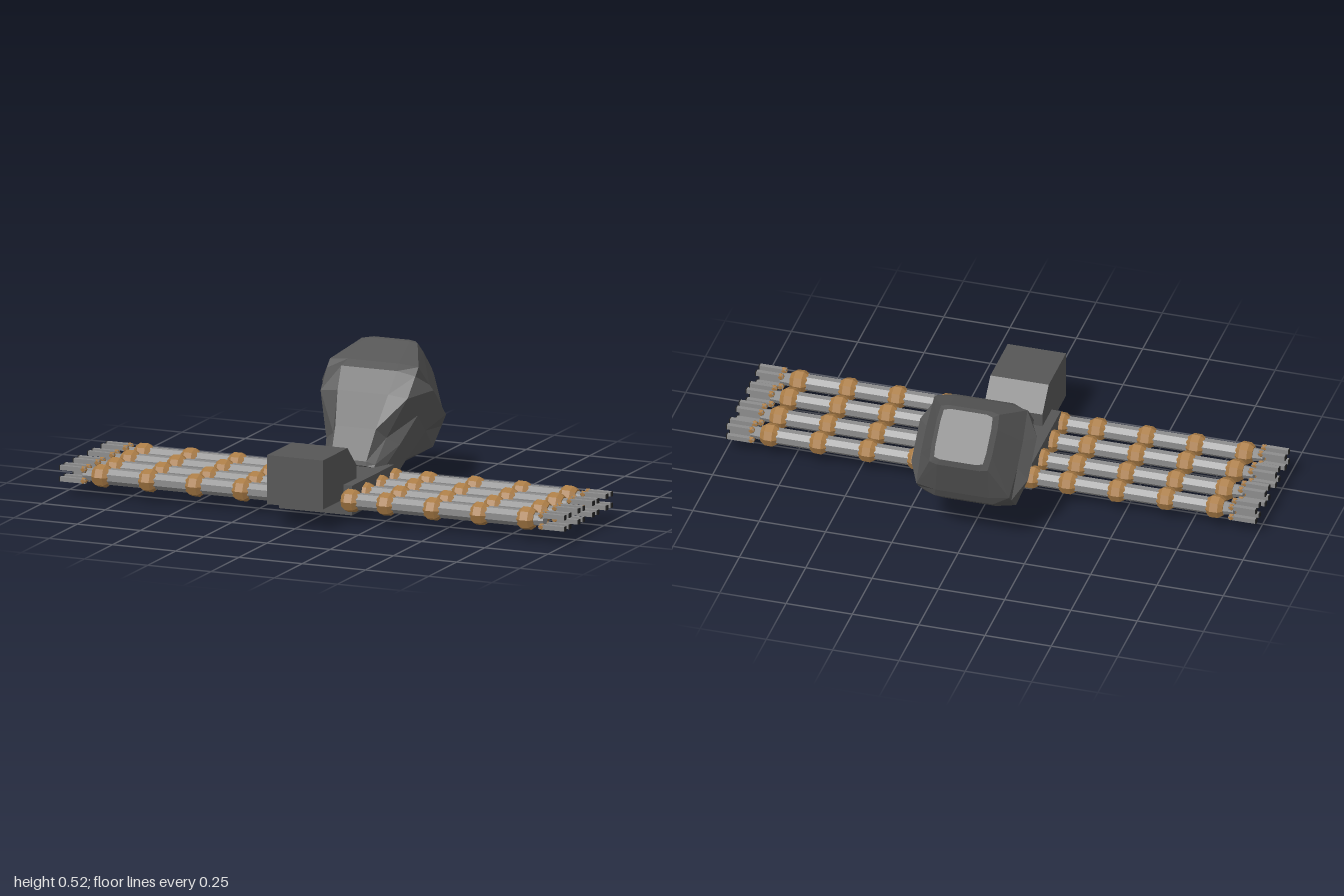
import * as THREE from 'three';

const mat = (name, color) => {
  const m = new THREE.MeshStandardMaterial({ color, flatShading: true });
  m.name = name;
  return m;
};

// Faceted abdomen lofted along a 45 degree axis; a clipped square section with a panel on each side
function abdomenGeometry() {
  // [distance, cornerX, cornerH, sideX, sideHalf, topH, topHalf]
  const rings = [
    [0.081, 0.1, 0.09, 0.11, 0.05, 0.098, 0.07],
    [0.095, 0.1, 0.09, 0.115, 0.05, 0.107, 0.07],
    [0.215, 0.105, 0.085, 0.145, 0.045, 0.138, 0.08],
    [0.343, 0.172, 0.16, 0.178, 0.05, 0.175, 0.1],
    [0.437, 0.175, 0.165, 0.22, 0.08, 0.19, 0.11],
    [0.477, 0.175, 0.165, 0.182, 0.05, 0.177, 0.1],
    [0.613, 0.11, 0.105, 0.115, 0.05, 0.112, 0.08],
    [0.63, 0.092, 0.088, 0.096, 0.045, 0.095, 0.07],
  ];
  const pos = [], index = [], n = 12, k = Math.SQRT1_2;
  const add = (s, u, v) => pos.push(-u, (s + v + 0.018) * k, (v + 0.018 - s) * k);
  for (const [s, cx, ch, sx, sh, th, tw] of rings) {
    const half = [[sx, -sh], [sx, sh], [cx, ch], [tw, th], [-tw, th], [-cx, ch]];
    half.forEach(([u, v]) => add(s, u, v));
    half.forEach(([u, v]) => add(s, -u, -v));
  }
  for (let i = 0; i < rings.length - 1; i++) {
    for (let j = 0; j < n; j++) {
      const a = i * n + j, b = i * n + (j + 1) % n;
      index.push(a, b, b + n, a, b + n, a + n);
    }
  }
  // End caps
  const last = (rings.length - 1) * n;
  for (let j = 1; j < n - 1; j++) {
    index.push(0, j + 1, j, last, last + j, last + j + 1);
  }
  const g = new THREE.BufferGeometry();
  g.setAttribute('position', new THREE.Float32BufferAttribute(pos, 3));
  g.setIndex(index);
  const flat = g.toNonIndexed();
  flat.computeVertexNormals();
  return flat;
}

export function createModel() {
  const shell = mat('dark shell grey', 0x565656);
  const legGrey = mat('leg grey', 0x8c8c8c);
  const bronze = mat('joint bronze', 0xaa7c46);
  const black = mat('tip black', 0x222222);

  const model = new THREE.Group();
  const part = (parent, name, geo, material, x = 0, y = 0, z = 0) => {
    const m = new THREE.Mesh(geo, material);
    m.name = name;
    m.position.set(x, y, z);
    parent.add(m);
    return m;
  };

  // Body slab
  part(model, 'body', new THREE.BoxGeometry(0.29, 0.11, 0.37), shell, 0, 0.08, 0.132);

  // Head: side profile with a sloped rear top, extruded across x
  const profile = new THREE.Shape([
    [-0.5, 0.082], [-0.2, 0.082], [-0.2, 0.185], [-0.28, 0.264], [-0.5, 0.264],
  ].map(([a, b]) => new THREE.Vector2(a, b)));
  const headGeo = new THREE.ExtrudeGeometry(profile, { depth: 0.22, bevelEnabled: false });
  headGeo.translate(0, 0, -0.11).rotateY(Math.PI / 2);
  part(model, 'head', headGeo, shell);

  part(model, 'abdomen', abdomenGeometry(), shell);

  // Shared leg geometry, running outward along +x
  const rod = (r, len, sides) =>
    new THREE.CylinderGeometry(r, r, len, sides).rotateX(Math.PI / sides).rotateY(Math.PI / sides).rotateZ(Math.PI / 2);
  const limbGeo = new THREE.CylinderGeometry(0.031, 0.031, 0.7, 8)
    .rotateY(Math.PI / 8).rotateZ(Math.PI / 2);
  const jointGeo = new THREE.CylinderGeometry(1, 1, 1, 8);
  jointGeo.dispose();
  const ballGeo = new THREE.LatheGeometry(
    [[0, -0.032], [0.03, -0.032], [0.042, -0.015], [0.043, 0.015], [0.03, 0.032], [0, 0.032]]
      .map(([a, b]) => new THREE.Vector2(a, b)), 8).rotateZ(Math.PI / 2);
  const wristGeo = new THREE.CylinderGeometry(0.022, 0.026, 0.05, 8).rotateZ(-Math.PI / 2);
  const fingerGeo = new THREE.BoxGeometry(0.1, 0.017, 0.017);
  const knuckleGeo = new THREE.IcosahedronGeometry(0.014, 0);
  const tipGeo = new THREE.BoxGeometry(0.004, 0.017, 0.017);

  function makeLeg() {
    const leg = new THREE.Group();
    part(leg, 'limb', limbGeo, legGrey, 0.49);
    for (const x of [0.145, 0.285, 0.47, 0.655, 0.84]) part(leg, 'joint', ballGeo, bronze, x);
    part(leg, 'wrist', wristGeo, legGrey, 0.885);
    // Four-fingered claw
    for (const sy of [-1, 1]) {
      for (const sz of [-1, 1]) {
        const y = sy * 0.021, z = sz * 0.021;
        part(leg, 'finger', fingerGeo, legGrey, 0.946, y, z);
        part(leg, 'knuckle', knuckleGeo, bronze, 0.905, y, z);
        part(leg, 'fingerTip', tipGeo, black, 0.998, y, z);
      }
    }
    return leg;
  }

  // Four pairs of legs
  for (const z of [0.32, 0.197, 0.068, -0.053]) {
    for (const side of [1, -1]) {
      const leg = makeLeg();
      leg.name = side > 0 ? 'leftLeg' : 'rightLeg';
      leg.position.set(0, 0.081, z);
      if (side < 0) leg.rotation.y = Math.PI;
      model.add(leg);
    }
  }
  return model;
}
